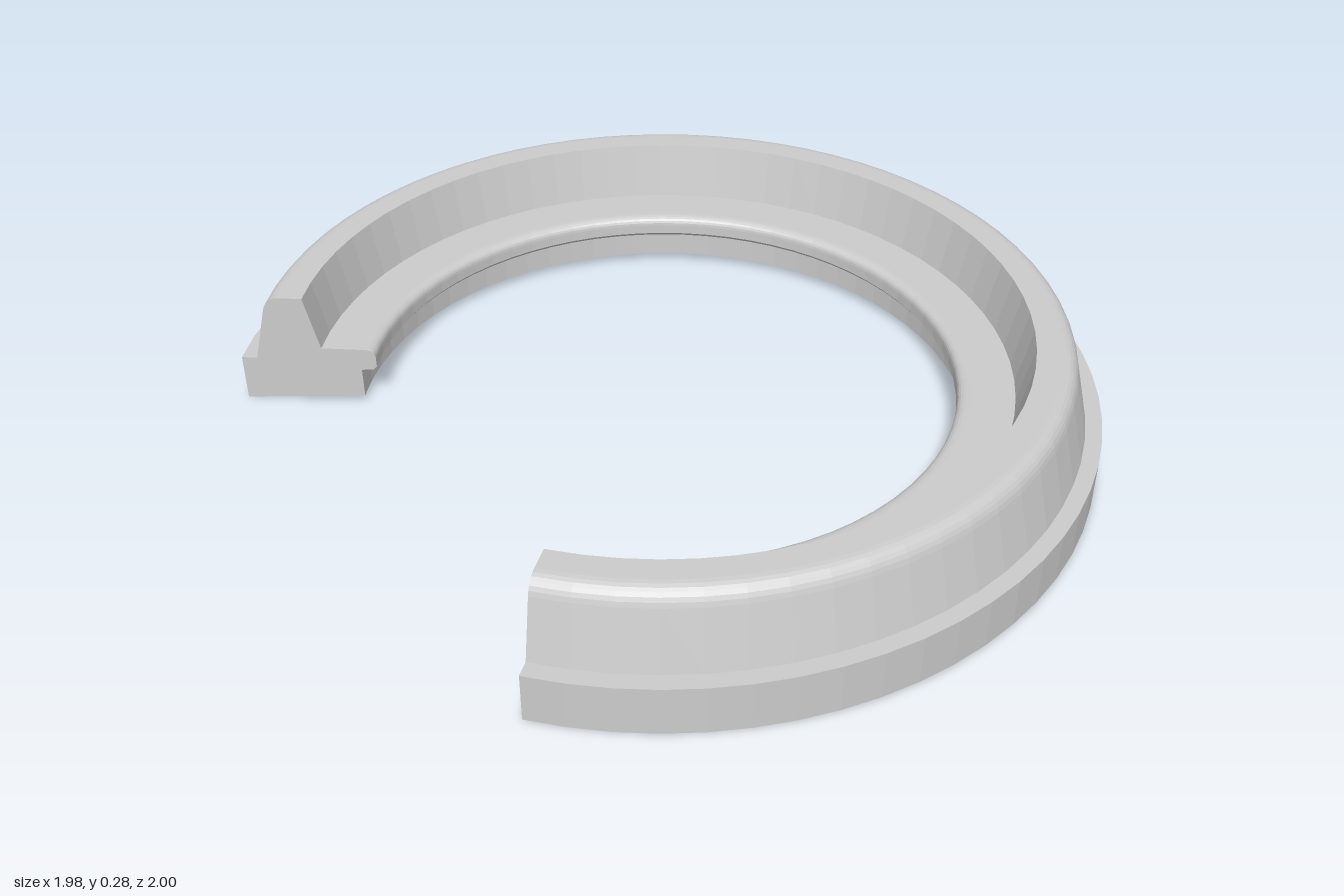
import * as THREE from 'three';

const rad = THREE.MathUtils.degToRad;

// Ring cross-section (radius, height), counter-clockwise from the outer bottom edge
function ringSection() {
  const s = new THREE.Shape();
  s.moveTo(1, 0);
  s.lineTo(1, 0.115);                              // outer flange
  s.lineTo(0.963, 0.115);
  s.lineTo(0.93, 0.25);                            // sloped outer wall
  s.quadraticCurveTo(0.921, 0.285, 0.89, 0.285);   // rounded rim
  s.lineTo(0.835, 0.285);
  s.lineTo(0.805, 0.15);                           // sloped inner wall
  s.lineTo(0.705, 0.15);                           // inner ledge
  s.quadraticCurveTo(0.677, 0.15, 0.677, 0.128);   // rounded lip
  s.lineTo(0.677, 0.105);
  s.lineTo(0.685, 0.096);
  s.lineTo(0.714, 0.093);                          // undercut
  s.lineTo(0.714, 0.02);
  s.lineTo(1, 0);                                  // slightly conical underside
  return s;
}

export function createModel() {
  const group = new THREE.Group();
  group.name = 'cutRing';

  const start = rad(-22.5), sweep = rad(281);
  const section = ringSection();

  // Revolved body, open over the missing sector
  const body = new THREE.Mesh(
    new THREE.LatheGeometry(section.getPoints(6), 56, start, sweep),
    new THREE.MeshStandardMaterial({ color: 0xcccccc, flatShading: true })
  );
  body.name = 'ringBody';
  group.add(body);

  // Flat faces closing both cut ends
  const capMaterial = new THREE.MeshStandardMaterial({ color: 0xcccccc, side: THREE.DoubleSide });
  const capGeometry = new THREE.ShapeGeometry(section, 6);
  [['frontCutFace', start], ['sideCutFace', start + sweep]].forEach(([name, angle]) => {
    const cap = new THREE.Mesh(capGeometry, capMaterial);
    cap.name = name;
    cap.rotation.y = angle - Math.PI / 2;
    group.add(cap);
  });

  // Centre the open ring's width on x = 0
  group.children.forEach((m) => { m.position.x = -0.01; });
  return group;
}
